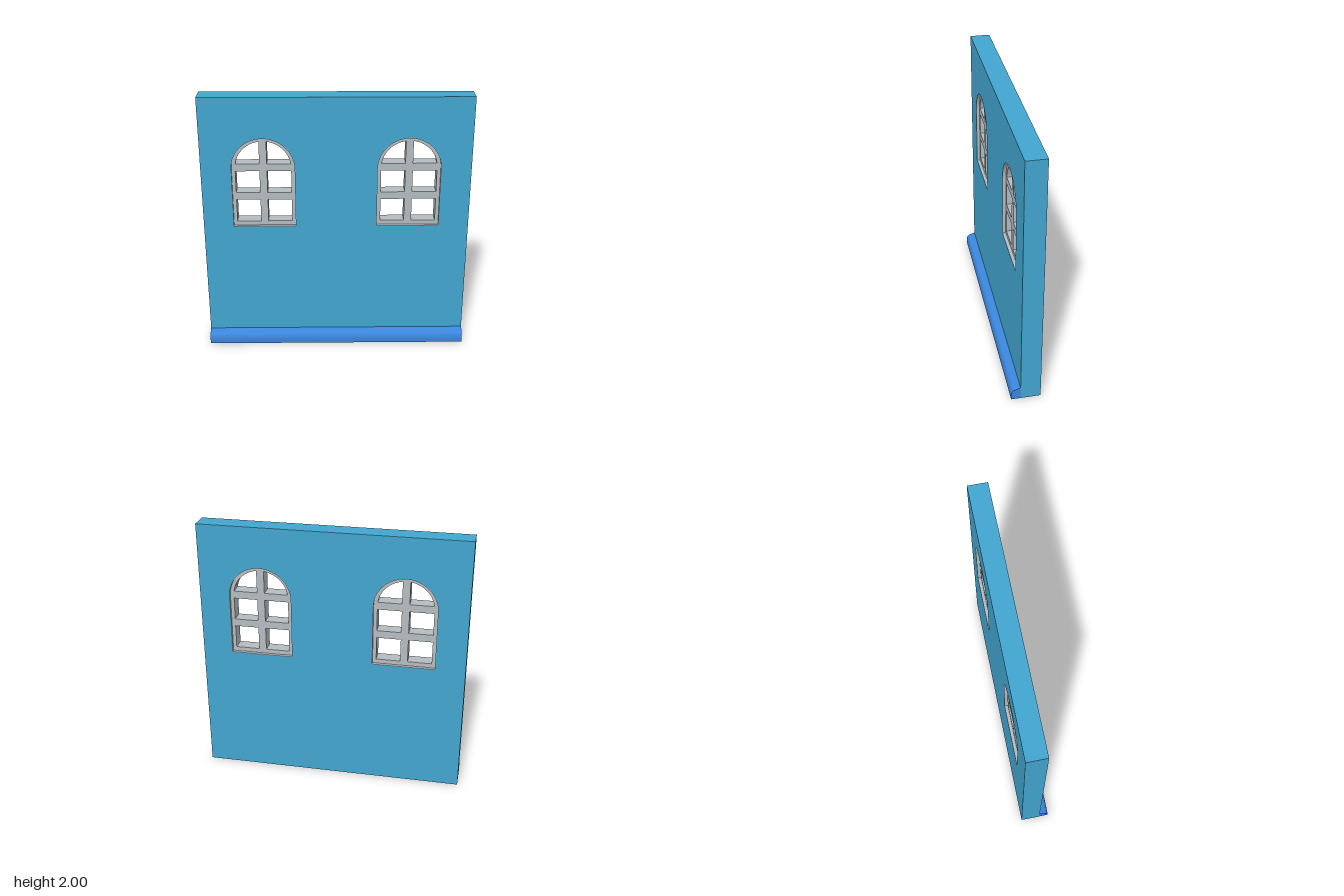
import * as THREE from 'three';

const BACK = -0.11, FRONT = 0.04, RECESS = 0.025;
const SILL = 0.99, SPRING = 1.455, RADIUS = 0.238, WINDOW_X = 0.54;

// Round-headed outline, shrunk by an inset on all sides
function arch(path, cx, inset) {
  const r = RADIUS - inset;
  path.moveTo(cx - r, SILL + inset);
  path.lineTo(cx + r, SILL + inset);
  path.lineTo(cx + r, SPRING);
  path.absarc(cx, SPRING, r, 0, Math.PI, false);
  path.closePath();
  return path;
}

function rect(x0, x1, y0, y1) {
  return new THREE.Path([[x0, y0], [x1, y0], [x1, y1], [x0, y1]].map(p => new THREE.Vector2(...p)));
}

// Upper pane: a quarter of the arched head beside the mullion
function headPane(side) {
  const r = 0.207, x0 = 0.028, y0 = 1.487, points = [new THREE.Vector2(side * x0, y0)];
  const a0 = Math.asin((y0 - SPRING) / r), a1 = Math.acos(x0 / r);
  for (let i = 0; i <= 14; i++) {
    const a = a0 + (a1 - a0) * i / 14;
    points.push(new THREE.Vector2(side * r * Math.cos(a), SPRING + r * Math.sin(a)));
  }
  return new THREE.Path(points);
}

function extrude(shape, z0, z1) {
  const g = new THREE.ExtrudeGeometry(shape, { depth: z1 - z0, bevelEnabled: false, curveSegments: 28 });
  return g.translate(0, 0, z0);
}

function addMesh(parent, name, geometry, material) {
  const mesh = new THREE.Mesh(geometry, material);
  mesh.name = name;
  parent.add(mesh);
  return mesh;
}

function material(name, color) {
  const m = new THREE.MeshStandardMaterial({ color });
  m.name = name;
  return m;
}

export function createModel() {
  const model = new THREE.Group();
  model.name = 'wallWithWindows';
  const wallBlue = material('wallBlue', 0x42a5cf);
  const trimBlue = material('trimBlue', 0x3b86dc);
  const frameGrey = material('frameGrey', 0xb4bcc0);

  // Wall slab with two arched openings
  const wall = new THREE.Shape(rect(-1, 1, 0, 2).getPoints());
  for (const s of [-1, 1]) wall.holes.push(arch(new THREE.Path(), s * WINDOW_X, 0));
  addMesh(model, 'wall', extrude(wall, BACK, FRONT), wallBlue);

  // Windows: a thin lining through the wall and a recessed six-pane lattice
  const lining = arch(new THREE.Shape(), 0, 0);
  lining.holes.push(arch(new THREE.Path(), 0, 0.004));
  const liningGeometry = extrude(lining, BACK, FRONT);

  const lattice = arch(new THREE.Shape(), 0, 0.002);
  for (const s of [-1, 1]) {
    for (const [y0, y1] of [[1.027, 1.203], [1.26, 1.43]]) {
      lattice.holes.push(rect(s * 0.028, s * 0.207, y0, y1));
    }
    lattice.holes.push(headPane(s));
  }
  const latticeGeometry = extrude(lattice, BACK + RECESS, FRONT - RECESS);

  for (const s of [-1, 1]) {
    const win = new THREE.Group();
    win.name = s > 0 ? 'leftWindow' : 'rightWindow';
    win.position.x = s * WINDOW_X;
    addMesh(win, 'windowLining', liningGeometry, frameGrey);
    addMesh(win, 'windowLattice', latticeGeometry, frameGrey);
    model.add(win);
  }

  // Skirting board: rounded profile swept along the foot of the wall
  const profile = new THREE.Shape();
  profile.moveTo(FRONT, 0);
  profile.lineTo(0.11, 0);
  profile.lineTo(0.11, 0.04);
  profile.quadraticCurveTo(0.108, 0.07, 0.092, 0.083);
  profile.lineTo(0.058, 0.095);
  profile.lineTo(FRONT, 0.1);
  profile.closePath();
  const skirting = new THREE.ExtrudeGeometry(profile, { depth: 2, bevelEnabled: false, curveSegments: 6 });
  skirting.rotateY(-Math.PI / 2).translate(1, 0, 0);
  addMesh(model, 'skirtingBoard', skirting, trimBlue);

  return model;
}
